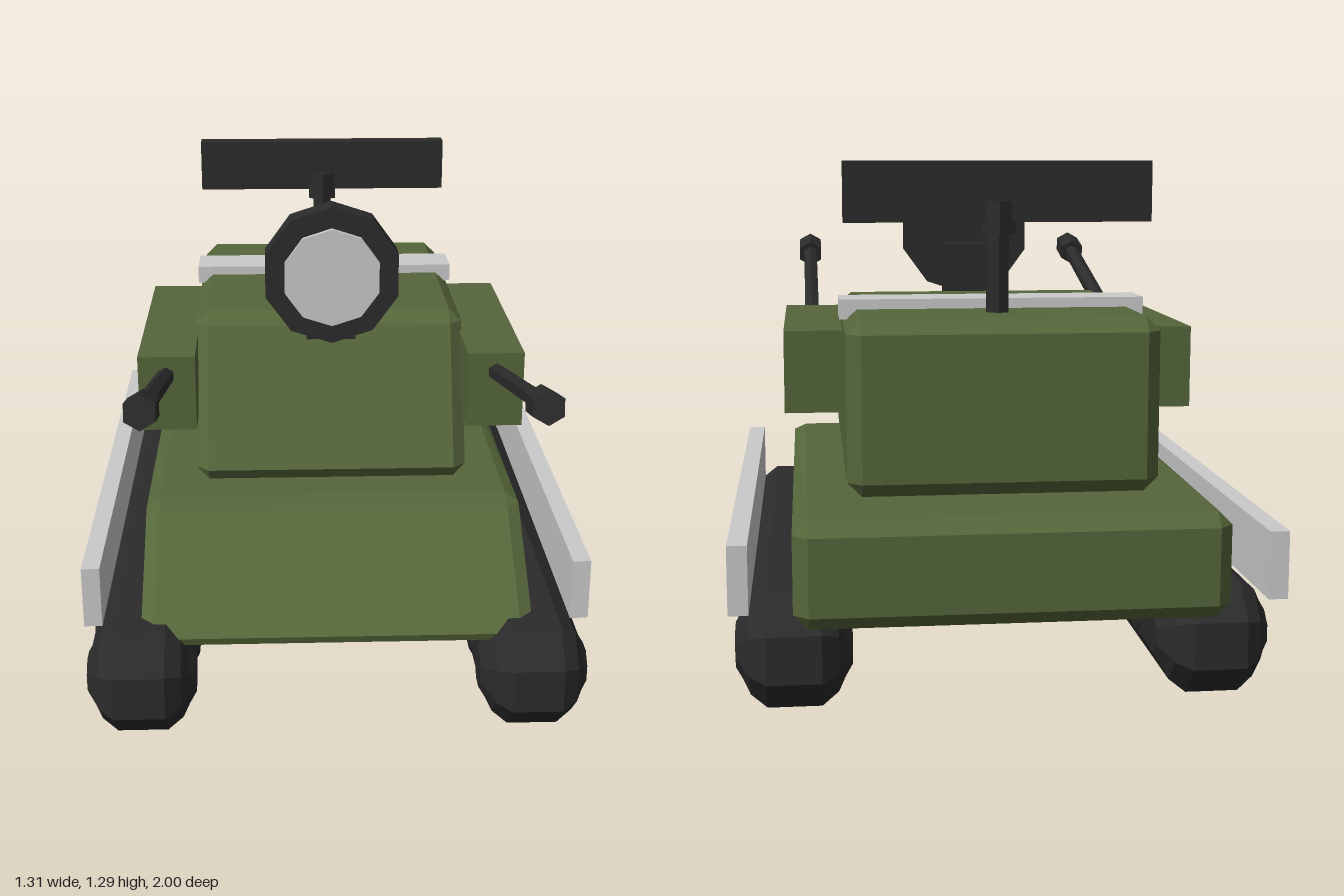
import * as THREE from 'three';
import { ConvexGeometry } from 'three/addons/geometries/ConvexGeometry.js';

const V = (x, y, z) => new THREE.Vector3(x, y, z);

// Prism across x from a convex (z, y) profile, with every edge chamfered by b
function chamferedPrism(profile, halfWidth, b) {
  const pts = profile.map(([z, y]) => new THREE.Vector2(z, y));
  const out = [];
  pts.forEach((v, i) => {
    const n = pts.length;
    const e1 = pts[(i + 1) % n].clone().sub(v).setLength(b);
    const e2 = pts[(i + n - 1) % n].clone().sub(v).setLength(b);
    const p = v.clone().add(e1).add(e2);
    const a = v.clone().add(e1);
    const c = v.clone().add(e2);
    for (const s of [-1, 1]) {
      out.push(V(s * halfWidth, p.y, p.x));
      out.push(V(s * (halfWidth - b), a.y, a.x), V(s * (halfWidth - b), c.y, c.x));
    }
  });
  return new ConvexGeometry(out);
}

// Long track body: octagonal ends, with rings shrinking towards each side
function trackGeometry() {
  const out = [];
  for (const [hx, inset] of [[0.065, 0], [0.105, 0.03], [0.132, 0.083]]) {
    const r = (0.14 - inset) / Math.cos(Math.PI / 8);
    for (let k = 0; k < 8; k++) {
      const a = (k + 0.5) * Math.PI / 4;
      const z = (Math.cos(a) > 0 ? 0.63 : -0.76) + r * Math.cos(a);
      for (const s of [-1, 1]) out.push(V(s * hx, 0.14 + r * Math.sin(a), z));
    }
  }
  return new ConvexGeometry(out);
}

export function createModel() {
  const model = new THREE.Group();
  model.name = 'armouredVehicle';
  const material = (name, color) => {
    const m = new THREE.MeshStandardMaterial({ color, flatShading: true });
    m.name = name;
    return m;
  };
  const olive = material('oliveGreen', 0x55663a);
  const dark = material('darkGrey', 0x2b2b2b);
  const light = material('lightGrey', 0xcacaca);

  const add = (name, geometry, mat, x = 0, y = 0, z = 0, parent = model) => {
    const mesh = new THREE.Mesh(geometry, mat);
    mesh.name = name;
    mesh.position.set(x, y, z);
    parent.add(mesh);
    return mesh;
  };
  // Box given by its limits on each axis
  const box = (name, mat, [x0, x1], [y0, y1], [z0, z1]) =>
    add(name, new THREE.BoxGeometry(x1 - x0, y1 - y0, z1 - z0), mat,
      (x0 + x1) / 2, (y0 + y1) / 2, (z0 + z1) / 2);
  // Cylinder running from one point to another
  const rod = (name, mat, from, to, r, sides) => {
    const dir = to.clone().sub(from);
    const mid = from.clone().add(to).multiplyScalar(0.5);
    const mesh = add(name, new THREE.CylinderGeometry(r, r, dir.length(), sides), mat, mid.x, mid.y, mid.z);
    mesh.quaternion.setFromUnitVectors(V(0, 1, 0), dir.normalize());
    return mesh;
  };

  // Hull and turret
  add('hull', chamferedPrism([[-1, 0.235], [0.7, 0.235], [0.335, 0.49], [-1, 0.49]], 0.507, 0.035), olive);
  add('turret', chamferedPrism([[-0.8, 0.495], [0.228, 0.495], [0.015, 0.92], [-0.8, 0.92]], 0.376, 0.035), olive);

  // Tracks with a row of bulging wheels
  const trackGeo = trackGeometry();
  const wheelProfile = [[0, -0.139], [0.055, -0.139], [0.12, -0.1], [0.12, 0.1], [0.055, 0.139], [0, 0.139]];
  const wheelGeo = new THREE.LatheGeometry(wheelProfile.map(([r, h]) => new THREE.Vector2(r, h)), 8);
  wheelGeo.rotateY(Math.PI / 8).rotateZ(Math.PI / 2);

  for (const side of [1, -1]) {
    const label = side > 0 ? 'left' : 'right';
    const span = (a, b) => (side > 0 ? [a, b] : [-b, -a]);

    const track = new THREE.Group();
    track.name = label + 'Track';
    track.position.x = side * 0.507;
    model.add(track);
    add('trackBody', trackGeo, dark, 0, 0, 0, track);
    for (let i = 0; i < 8; i++) add('wheel', wheelGeo, dark, 0, 0.14, 0.63 - i * 1.39 / 7, track);

    box(label + 'Skirt', light, span(0.608, 0.655), [0.263, 0.427], [-0.935, 0.608]);

    // Side gun: housing, barrel and muzzle
    box(label + 'GunHousing', olive, span(0.37, 0.525), [0.652, 0.862], [-0.475, 0.215]);
    const x = side * 0.45;
    rod(label + 'Barrel', dark, V(x, 0.795, 0.16), V(x, 0.983, 0.93), 0.024, 6);
    rod(label + 'Muzzle', dark, V(x, 0.973, 0.89), V(x, 0.997, 0.991), 0.041, 6);
  }

  // Roof bar
  box('roofBar', light, [-0.385, 0.385], [0.895, 0.945], [-0.528, -0.395]);

  // Rear antenna
  rod('antennaPost', dark, V(0, 0.9, -0.622), V(0, 1.15, -0.622), 0.03, 6);
  rod('antennaHub', dark, V(0, 1.11, -0.622), V(0, 1.19, -0.622), 0.047, 6);
  box('antennaPanel', dark, [-0.376, 0.376], [1.14, 1.288], [-0.65, -0.596]);

  // Searchlight
  box('lampMount', dark, [-0.067, 0.067], [0.89, 1.05], [0.035, 0.16]);
  rod('lampHousing', dark, V(0, 1.085, 0.145), V(0, 1.085, 0.222), 0.186, 10);
  rod('lampLens', light, V(0, 1.083, 0.22), V(0, 1.083, 0.237), 0.132, 10);

  return model;
}
